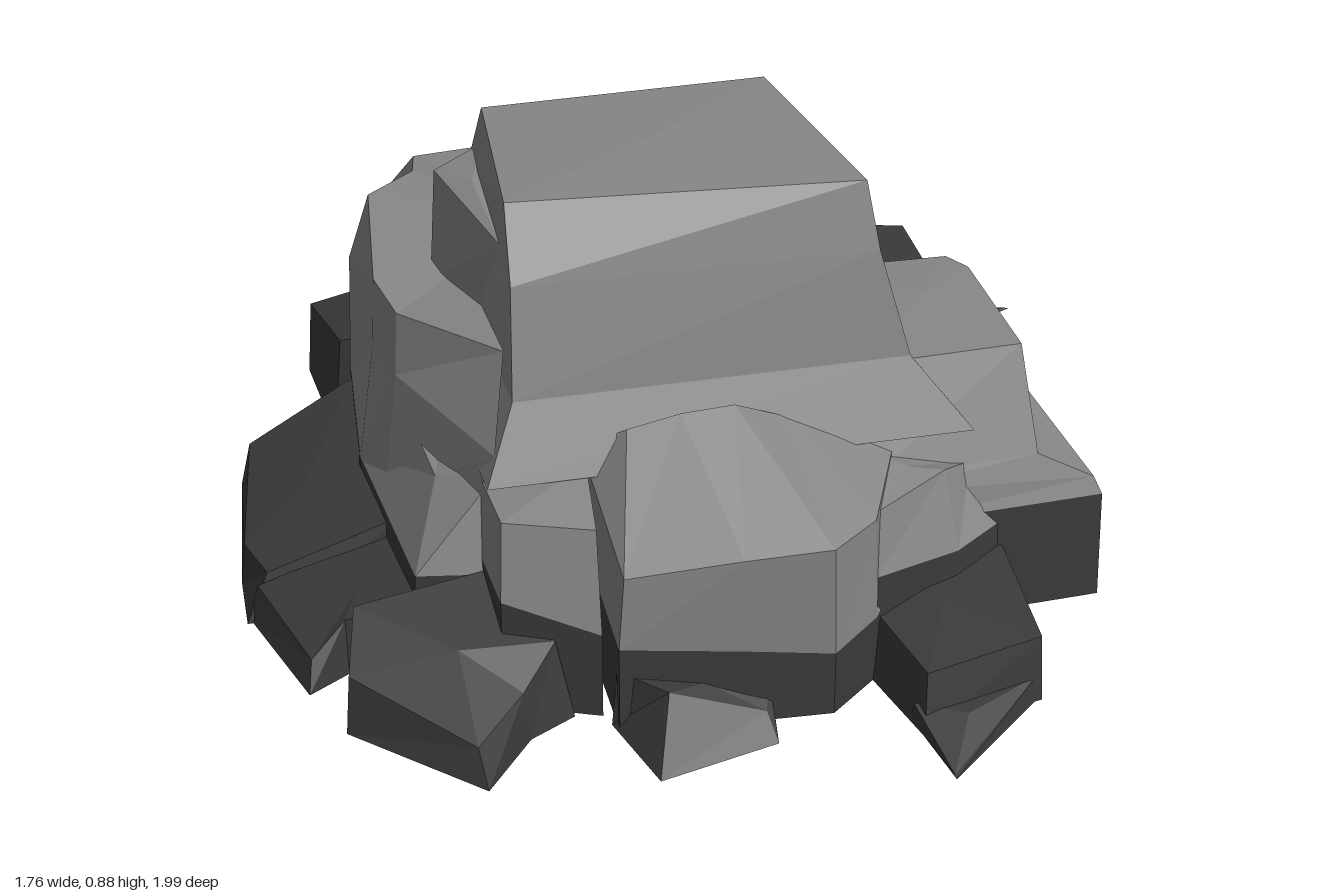
import * as THREE from 'three';

const make = (name, color) => Object.assign(
  new THREE.MeshStandardMaterial({ color, flatShading: true, side: THREE.DoubleSide }), { name });
const stone = make('grey stone', 0x878787);
const dark = make('dark wet stone', 0x3a3a3a);

// One faceted skin through stacked rings; "attached" leaves out the wall from last to first point.
function skin(rings, material, name, capTop, attached) {
  const pos = [];
  const tri = (a, b, c) => pos.push(...a, ...b, ...c);
  for (let r = 0; r + 1 < rings.length; r++) {
    const lo = rings[r], hi = rings[r + 1];
    const walls = attached ? lo.length - 1 : lo.length;
    for (let i = 0; i < walls; i++) {
      const j = (i + 1) % lo.length;
      tri(lo[i], hi[i], lo[j]);
      tri(lo[j], hi[i], hi[j]);
    }
  }
  if (capTop) {
    const ring = rings[rings.length - 1];
    const c = [0, 1, 2].map(k => ring.reduce((s, p) => s + p[k], 0) / ring.length);
    c[1] += 0.01;
    ring.forEach((p, i) => tri(c, ring[(i + 1) % ring.length], p));
  }
  const geo = new THREE.BufferGeometry();
  geo.setAttribute('position', new THREE.Float32BufferAttribute(pos, 3));
  geo.computeVertexNormals();
  const mesh = new THREE.Mesh(geo, material);
  mesh.name = name;
  return mesh;
}

// levels: [[height, [[x, z, y?], ...]], ...]; rings up to "split" are dark, the rest grey.
function rock(name, split, levels, attached = true) {
  const first = levels[0][1];
  const area = first.reduce((s, p, i) => {
    const q = first[(i + 1) % first.length];
    return s + p[0] * q[1] - q[0] * p[1];
  }, 0);
  const rings = levels.map(([h, pts]) => {
    const ring = pts.map(([x, z, y = h]) => [x, y, z]);
    return area < 0 ? ring.reverse() : ring;
  });
  const g = new THREE.Group();
  g.name = name;
  const last = rings.length - 1;
  if (split > 0) g.add(skin(rings.slice(0, split + 1), dark, name + 'Base', split === last, attached));
  if (split < last) g.add(skin(rings.slice(split), stone, name + 'Upper', true, attached));
  return g;
}

// A low dark boulder: footprint on the ground and a matching top outline.
const boulder = (name, foot, top) => rock(name, 1, [[0.003, foot], [0.1, top]], false);

export function createModel() {
  const model = new THREE.Group();
  model.name = 'rockOutcrop';

  // Large rear mass, open toward the front where the other rocks join it
  const bodyFoot = [[-0.45, 0.47], [-0.6, 0.15], [-0.63, 0.02], [-0.6, -0.33], [-0.5, -0.41], [-0.49, -0.61],
    [0.1, -0.63], [0.18, -0.32], [0.28, -0.18], [0.3, 0]];
  model.add(rock('rearMass', 1, [
    [0.003, bodyFoot],
    [0.2, bodyFoot],
    [0.45, [[-0.44, 0.46], [-0.57, 0.14], [-0.595, 0.02], [-0.59, -0.33], [-0.5, -0.41], [-0.47, -0.61],
      [0.11, -0.655], [0.18, -0.32], [0.29, -0.2], [0.31, 0]]],
    [0.6, [[-0.4, 0.35], [-0.56, 0.12, 0.57], [-0.585, 0, 0.58], [-0.55, -0.3], [-0.45, -0.38], [-0.43, -0.5, 0.57],
      [0.09, -0.53, 0.58], [0.16, -0.3, 0.6], [0.25, -0.12, 0.61], [0.27, 0]]],
  ]));

  // Tall block on top, flaring toward its foot
  model.add(rock('summitBlock', 0, [
    [0.4, [[-0.46, 0.49], [-0.48, 0], [0.32, -0.08], [0.45, 0.49]]],
    [0.54, [[-0.4, 0.43], [-0.42, -0.11], [0.27, -0.11], [0.34, 0.43]]],
    [0.75, [[-0.39, 0.385], [-0.38, -0.11], [0.22, -0.11], [0.285, 0.4]]],
    [0.88, [[-0.385, 0.31], [-0.355, -0.09, 0.87], [0.19, -0.09, 0.875], [0.265, 0.37]]],
  ], false));
  model.add(rock('summitWedge', 0, [
    [0.55, [[-0.36, 0.3], [-0.47, -0.04], [-0.34, -0.1]]],
    [0.77, [[-0.385, 0.27], [-0.455, -0.05], [-0.355, -0.1, 0.79]]],
  ]));

  // Shoulders on both sides
  model.add(rock('leftShoulder', 1, [
    [0.003, [[0.25, 0.52], [0.71, 0.5], [0.67, 0.14], [0.62, 0], [0.25, -0.04]]],
    [0.23, [[0.25, 0.52], [0.705, 0.5], [0.66, 0.14, 0.25], [0.61, 0, 0.2], [0.25, -0.04, 0.2]]],
    [0.3, [[0.25, 0.51], [0.69, 0.49, 0.265], [0.64, 0.13, 0.3], [0.59, 0, 0.27], [0.25, -0.03]]],
    [0.325, [[0.25, 0.5], [0.58, 0.48], [0.58, 0.12], [0.57, 0.01], [0.25, -0.02]]],
    [0.525, [[0.25, 0.42], [0.56, 0.41], [0.55, 0.11], [0.52, 0.06], [0.25, 0.05]]],
  ]));
  model.add(rock('rightShoulder', 1, [
    [0.003, [[-0.42, 0.47], [-0.6, 0.44], [-0.64, 0], [-0.42, 0]]],
    [0.2, [[-0.42, 0.47], [-0.59, 0.44], [-0.63, 0], [-0.42, 0]]],
    [0.4, [[-0.42, 0.42], [-0.53, 0.33, 0.34], [-0.57, 0.02], [-0.42, 0]]],
  ]));

  // Front bulge with a smaller lump on each side
  const bulgeFoot = [[-0.27, 0.45], [-0.27, 0.72], [-0.05, 0.745], [0.12, 0.755], [0.22, 0.67], [0.36, 0.48]];
  const waterline = [0.2, 0.18, 0.16, 0.135, 0.14, 0.2];
  model.add(rock('frontBulge', 1, [
    [0.003, bulgeFoot],
    [0.15, bulgeFoot.map(([x, z], i) => [x, z, waterline[i]])],
    [0.36, [[-0.27, 0.45, 0.4], [-0.26, 0.72, 0.33], [-0.05, 0.755], [0.11, 0.77, 0.37], [0.21, 0.68], [0.3, 0.47, 0.37]]],
    [0.48, [[-0.27, 0.43, 0.43], [-0.2, 0.47], [-0.1, 0.47, 0.5], [0, 0.47, 0.505], [0.1, 0.46, 0.46], [0.18, 0.45, 0.43]]],
  ]));
  model.add(rock('frontRightLump', 1, [
    [0.003, [[-0.47, 0.42], [-0.46, 0.6], [-0.29, 0.67], [-0.26, 0.45]]],
    [0.2, [[-0.47, 0.42, 0.23], [-0.46, 0.6, 0.23], [-0.29, 0.67, 0.18], [-0.26, 0.45]]],
    [0.38, [[-0.46, 0.42], [-0.45, 0.57], [-0.29, 0.63], [-0.27, 0.44, 0.4]]],
  ]));
  model.add(rock('frontLeftLump', 1, [
    [0.003, [[0.2, 0.45], [0.22, 0.66], [0.4, 0.59], [0.52, 0.5]]],
    [0.2, [[0.2, 0.45], [0.22, 0.66, 0.22], [0.4, 0.58], [0.51, 0.5]]],
    [0.345, [[0.2, 0.44, 0.38], [0.23, 0.63], [0.38, 0.54, 0.355], [0.45, 0.47, 0.32]]],
  ]));

  // Ledge behind the rear mass
  model.add(rock('rearLedge', 2, [
    [0.003, [[-0.42, -0.58], [-0.4, -0.66], [-0.3, -0.8], [0.02, -0.78], [0.03, -0.58]]],
    [0.13, [[-0.42, -0.58, 0.18], [-0.39, -0.66, 0.16], [-0.29, -0.79], [0.015, -0.77], [0.03, -0.58, 0.18]]],
    [0.22, [[-0.38, -0.58], [-0.36, -0.66], [-0.27, -0.73], [0.01, -0.72], [0.02, -0.58]]],
    [0.25, [[-0.37, -0.58], [-0.35, -0.65], [-0.26, -0.7, 0.24], [0, -0.7, 0.24], [0.02, -0.58]]],
  ]));

  // Dark boulders around the foot
  model.add(
    boulder('longSideBoulder',
      [[-0.84, -0.25], [-0.6, -0.32], [-0.55, 0.24], [-0.885, 0.24], [-0.88, 0.1]],
      [[-0.82, -0.24, 0.1], [-0.6, -0.3, 0.19], [-0.55, 0.22, 0.2], [-0.84, 0.22, 0.1], [-0.87, 0.1, 0.09]]),
    boulder('sideBoulder',
      [[-0.88, 0.22], [-0.8, 0.49], [-0.72, 0.44], [-0.58, 0.49], [-0.5, 0.2]],
      [[-0.86, 0.23, 0.08], [-0.79, 0.46, 0.06], [-0.72, 0.42, 0.11], [-0.58, 0.47, 0.16], [-0.5, 0.2, 0.18]]),
    boulder('frontRightBoulder',
      [[-0.72, 0.47], [-0.75, 0.62], [-0.53, 0.84], [-0.43, 0.71], [-0.34, 0.66], [-0.45, 0.45]],
      [[-0.71, 0.48, 0.18], [-0.74, 0.61, 0.12], [-0.54, 0.8, 0.07], [-0.44, 0.7, 0.1], [-0.37, 0.64, 0.16], [-0.45, 0.46, 0.21]]),
    boulder('frontBoulder',
      [[-0.28, 0.7], [-0.23, 0.88], [0, 0.82], [0.02, 0.7]],
      [[-0.27, 0.7, 0.12], [-0.19, 0.77, 0.11], [-0.01, 0.77, 0.04], [0.01, 0.7, 0.07]]),
    boulder('frontLeftBoulder',
      [[0.21, 0.65], [0.26, 0.86], [0.5, 0.8], [0.52, 0.5], [0.25, 0.5]],
      [[0.23, 0.65, 0.13], [0.27, 0.83, 0.12], [0.5, 0.78, 0.13], [0.51, 0.5, 0.15], [0.25, 0.5, 0.15]]),
    boulder('frontShard',
      [[0.25, 0.8], [0.28, 0.99], [0.5, 0.79]],
      [[0.25, 0.82, 0.05], [0.28, 0.98, 0.005], [0.49, 0.79, 0.05]]),
    boulder('rearRightBoulder',
      [[-0.65, -0.66], [-0.42, -0.65], [-0.45, -0.4], [-0.55, -0.37], [-0.63, -0.39]],
      [[-0.64, -0.65, 0.17], [-0.44, -0.64, 0.22], [-0.47, -0.4, 0.24], [-0.55, -0.37, 0.24], [-0.61, -0.4, 0.22]]),
    boulder('detachedBoulder',
      [[0.3, -0.62], [0.64, -0.58], [0.63, -0.2], [0.3, -0.23]],
      [[0.29, -0.63, 0.26], [0.63, -0.58, 0.24], [0.62, -0.21, 0.26], [0.32, -0.24, 0.26]]),
    boulder('lowRearBoulder',
      [[0.19, -0.78], [0.28, -0.86], [0.455, -0.82], [0.455, -0.58], [0.16, -0.49]],
      [[0.2, -0.74, 0.1], [0.28, -0.83, 0.1], [0.45, -0.8, 0.11], [0.45, -0.58, 0.11], [0.17, -0.5, 0.1]]),
    boulder('groundShard',
      [[0.62, -0.58], [0.7, -0.64], [0.88, -0.58], [0.62, -0.46]],
      [[0.62, -0.58, 0.03], [0.69, -0.62, 0.015], [0.87, -0.58, 0.006], [0.62, -0.48, 0.03]]));

  // Pale splinters at the far rear
  model.add(
    rock('rearSplinter', 0, [
      [0.003, [[0.115, -1], [0.24, -0.93], [0.17, -0.86], [0.115, -0.86]]],
      [0.04, [[0.12, -0.99, 0.01], [0.22, -0.93, 0.015], [0.17, -0.87], [0.12, -0.87]]],
    ], false),
    rock('rearFlake', 0, [
      [0.003, [[0.11, -0.87], [0.18, -0.91], [0.29, -0.86], [0.17, -0.66]]],
      [0.1, [[0.12, -0.86, 0.04], [0.18, -0.9, 0.05], [0.29, -0.84, 0.12], [0.175, -0.68, 0.12]]],
    ], false));

  return model;
}
